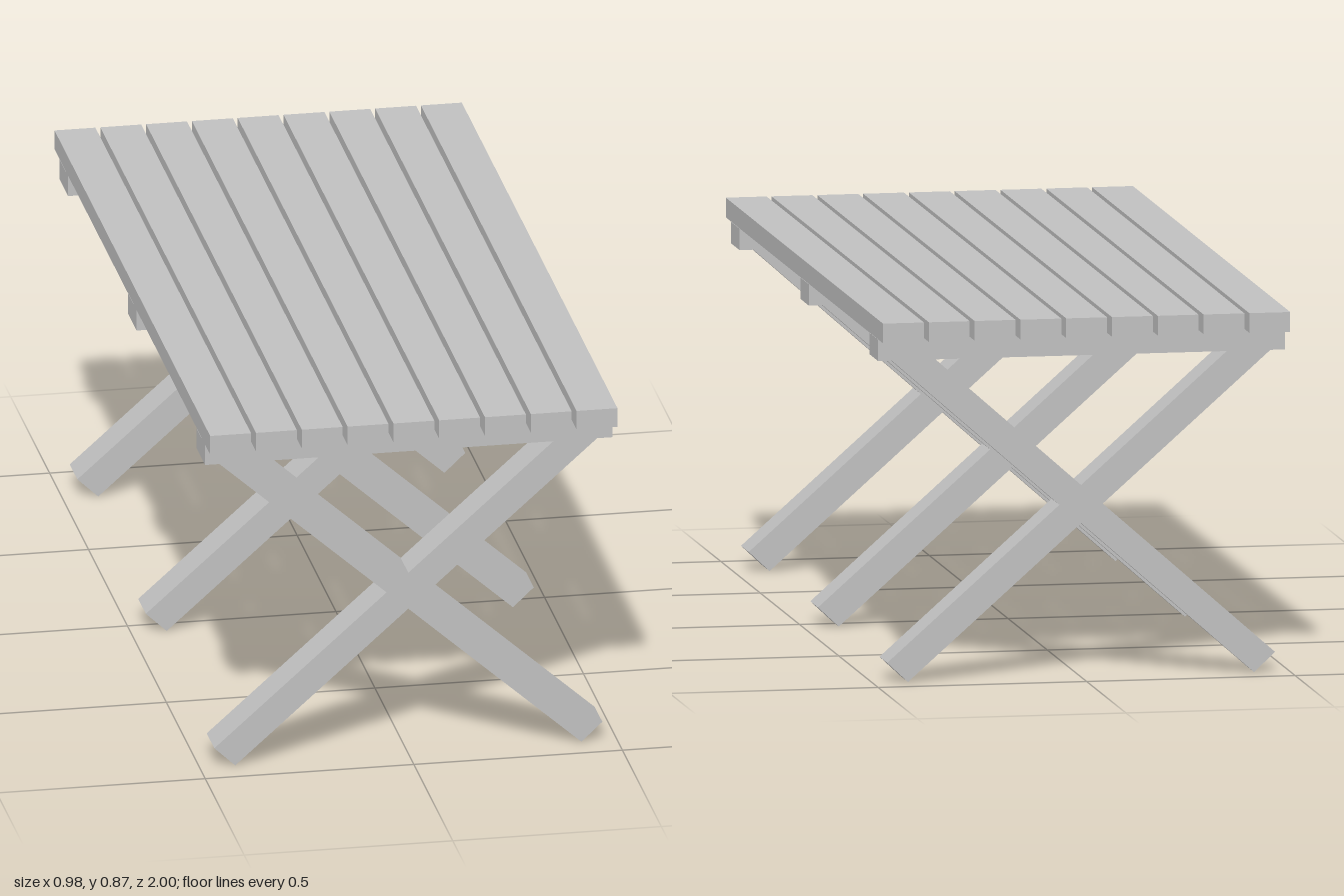
import * as THREE from 'three';

export function createModel() {
  const group = new THREE.Group();
  group.name = 'slattedTable';
  const wood = new THREE.MeshStandardMaterial({ color: 0xc0c0c0 });
  wood.name = 'light grey';

  function add(name, geometry, x, y, z) {
    const mesh = new THREE.Mesh(geometry, wood);
    mesh.name = name;
    mesh.position.set(x, y, z);
    group.add(mesh);
  }

  // Table top: nine planks running front to back
  const plank = new THREE.BoxGeometry(0.098, 0.047, 2);
  for (let i = -4; i <= 4; i++) add('topPlank', plank, i * 0.1098, 0.8435, 0);

  // Crossed legs as one outline: half the X, mirrored in x
  const half = [
    [0, 0.367], [0.415, 0], [0.465, 0.047], [0.052, 0.412],
    [0.455, 0.768], [0.35, 0.768], [0, 0.458],
  ];
  const mirrored = half.slice(1, -1).reverse().map(([x, y]) => [-x, y]);
  const outline = [...half, ...mirrored].map(([x, y]) => new THREE.Vector2(x, y));
  const legDepth = 0.098;
  const legs = new THREE.ExtrudeGeometry(new THREE.Shape(outline), { depth: legDepth, bevelEnabled: false });
  legs.translate(0, 0, -legDepth / 2);

  // Three trestles, each with a bearer under the planks
  const bearer = new THREE.BoxGeometry(0.976, 0.051, 0.108);
  for (const z of [-0.88, 0, 0.88]) {
    add('bearer', bearer, 0, 0.7935, z);
    add('crossedLegs', legs, 0, 0, z);
  }
  return group;
}
